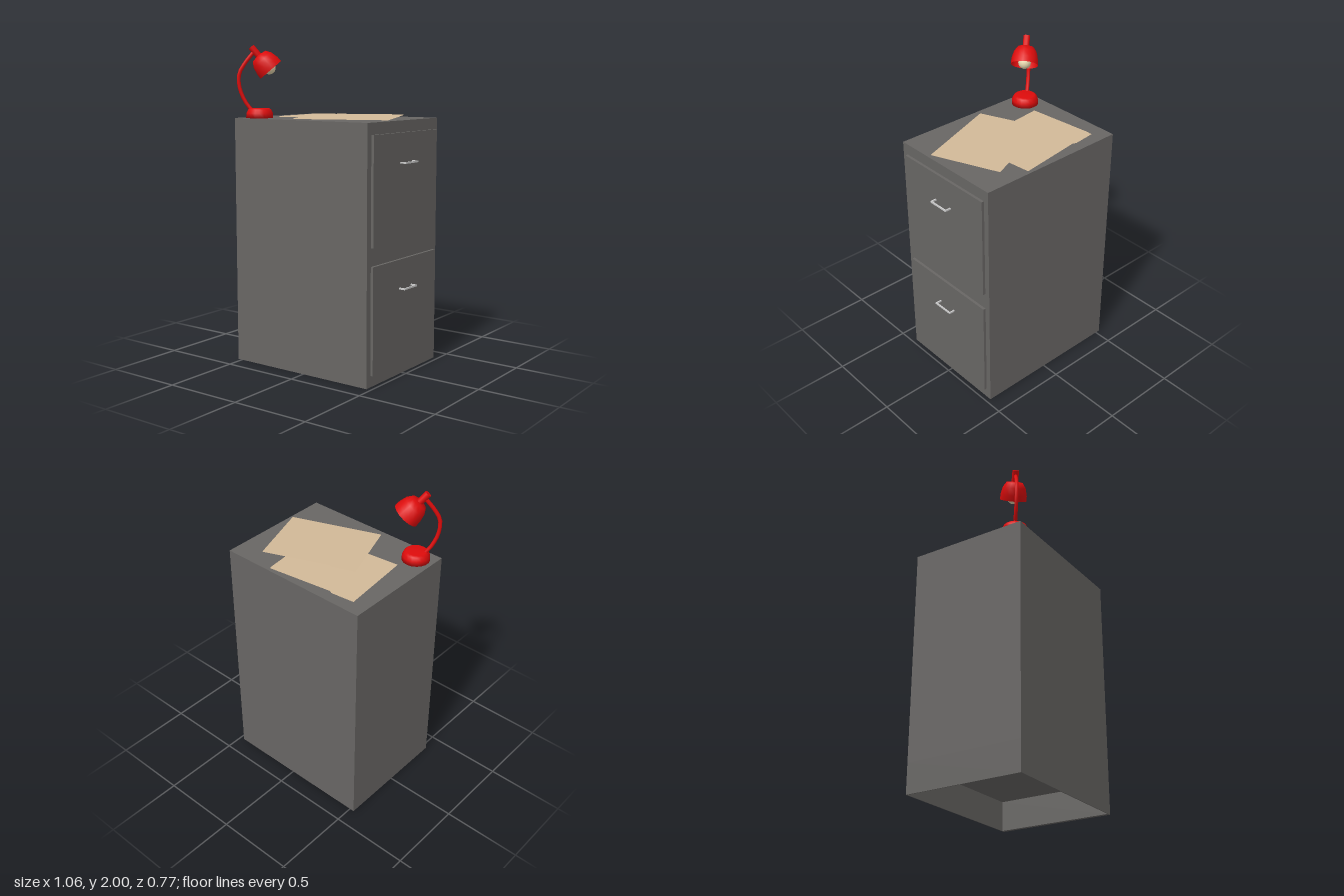
import * as THREE from 'three';

const steel = new THREE.MeshStandardMaterial({ color: 0x686664 });
const chrome = new THREE.MeshStandardMaterial({ color: 0xcccccc });
const red = new THREE.MeshStandardMaterial({ color: 0xdd0b0b });
const redShell = new THREE.MeshStandardMaterial({ color: 0xdd0b0b, side: THREE.DoubleSide });
const cream = new THREE.MeshStandardMaterial({ color: 0xe8d9b0 });
const manila = new THREE.MeshStandardMaterial({ color: 0xd2b998, side: THREE.DoubleSide });

const V = (x, y, z) => new THREE.Vector3(x, y, z);

function add(parent, name, geometry, material, x = 0, y = 0, z = 0) {
  const mesh = new THREE.Mesh(geometry, material);
  mesh.name = name;
  mesh.position.set(x, y, z);
  parent.add(mesh);
  return mesh;
}

function box(parent, name, material, x0, x1, y0, y1, z0, z1) {
  return add(parent, name, new THREE.BoxGeometry(x1 - x0, y1 - y0, z1 - z0), material,
    (x0 + x1) / 2, (y0 + y1) / 2, (z0 + z1) / 2);
}

const polygon = (points) => points.map(([x, y]) => new THREE.Vector2(x, y));
const lathe = (points, sides) => new THREE.LatheGeometry(polygon(points), sides);

function createCabinet() {
  const cabinet = new THREE.Group();
  cabinet.name = 'cabinet';
  const recess = 0.19;
  box(cabinet, 'cabinetBody', steel, -0.53, 0.47, recess, 1.55, -0.385, 0.385);

  // Hollow skirt under the body
  const outline = new THREE.Shape(polygon([[-0.53, -0.385], [0.47, -0.385], [0.47, 0.385], [-0.53, 0.385]]));
  outline.holes.push(new THREE.Path(polygon([[-0.525, -0.38], [-0.525, 0.38], [0.445, 0.38], [0.445, -0.38]])));
  const skirt = new THREE.ExtrudeGeometry(outline, { depth: recess, bevelEnabled: false });
  skirt.rotateX(-Math.PI / 2);
  add(cabinet, 'cabinetSkirt', skirt, steel);

  // Drawer fronts with bar handles
  for (const y of [0.07, 0.83]) {
    const drawer = new THREE.Group();
    drawer.name = 'drawer';
    box(drawer, 'drawerFront', steel, 0.465, 0.487, y, y + 0.65, -0.35, 0.345);
    const h = y + 0.473, t = 0.005;
    box(drawer, 'handleBar', chrome, 0.52, 0.528, h - t, h + t, -0.073, 0.066);
    for (const z of [-0.069, 0.062])
      box(drawer, 'handlePost', chrome, 0.485, 0.522, h - t, h + t, z - 0.004, z + 0.004);
    cabinet.add(drawer);
  }
  return cabinet;
}

// Two thin leaves: the lower has a tab, the upper is cut back beside it
function createFolder(x, y, z, turn, tilt) {
  const folder = new THREE.Group();
  folder.name = 'folder';
  const w = 0.587, d = 0.455;
  const leaves = [
    ['lowerLeaf', 0, [[0, 0], [0.15, 0], [0.168, 0.012], [w, 0]]],
    ['upperLeaf', 0.003, [[0, 0.025], [0.15, 0.025], [0.168, 0.014], [w, 0.006]]],
  ];
  for (const [name, height, edge] of leaves) {
    const leaf = new THREE.ShapeGeometry(new THREE.Shape(polygon([...edge, [w, d], [0, d]])));
    leaf.rotateX(Math.PI / 2);
    add(folder, name, leaf, manila, 0, height, 0);
  }
  folder.position.set(x, y, z);
  folder.rotation.set(tilt, turn, 0, 'YXZ');
  return folder;
}

function createLamp() {
  const lamp = new THREE.Group();
  lamp.name = 'deskLamp';
  add(lamp, 'lampBase', lathe([[0, 0], [0.085, 0], [0.083, 0.03], [0.072, 0.052], [0.06, 0.06], [0, 0.06]], 18),
    red, -0.42, 1.55, 0.277);

  // Curved arm
  const arm = new THREE.CatmullRomCurve3([
    V(-0.455, 1.59, 0.3), V(-0.487, 1.64, 0.325), V(-0.516, 1.73, 0.35),
    V(-0.518, 1.82, 0.353), V(-0.487, 1.89, 0.33), V(-0.445, 1.955, 0.298),
  ]);
  add(lamp, 'lampArm', new THREE.TubeGeometry(arm, 12, 0.012, 8), red);

  // Head, built along its own axis from the cap to the mouth
  const cap = V(-0.457, 1.987, 0.307), mouth = V(-0.365, 1.845, 0.228);
  const head = new THREE.Group();
  head.name = 'lampHead';
  head.position.copy(cap);
  head.quaternion.setFromUnitVectors(V(0, -1, 0), mouth.clone().sub(cap).normalize());
  add(head, 'lampSocket', new THREE.CylinderGeometry(0.021, 0.021, 0.09, 10), red, 0, -0.045, 0);
  add(head, 'lampShade', lathe([[0.085, -0.185], [0.083, -0.15], [0.072, -0.105], [0.052, -0.075], [0.015, -0.068]], 14),
    redShell);
  add(head, 'lightBulb', new THREE.SphereGeometry(0.04, 14, 10), cream, 0, -0.17, 0);
  lamp.add(head);
  return lamp;
}

export function createModel() {
  const model = new THREE.Group();
  model.name = 'filingCabinet';
  model.add(
    createCabinet(),
    createFolder(-0.431, 1.553, -0.303, 0.107, 0),
    createFolder(-0.258, 1.567, -0.082, 0.352, 0.028),
    createLamp(),
  );
  return model;
}
